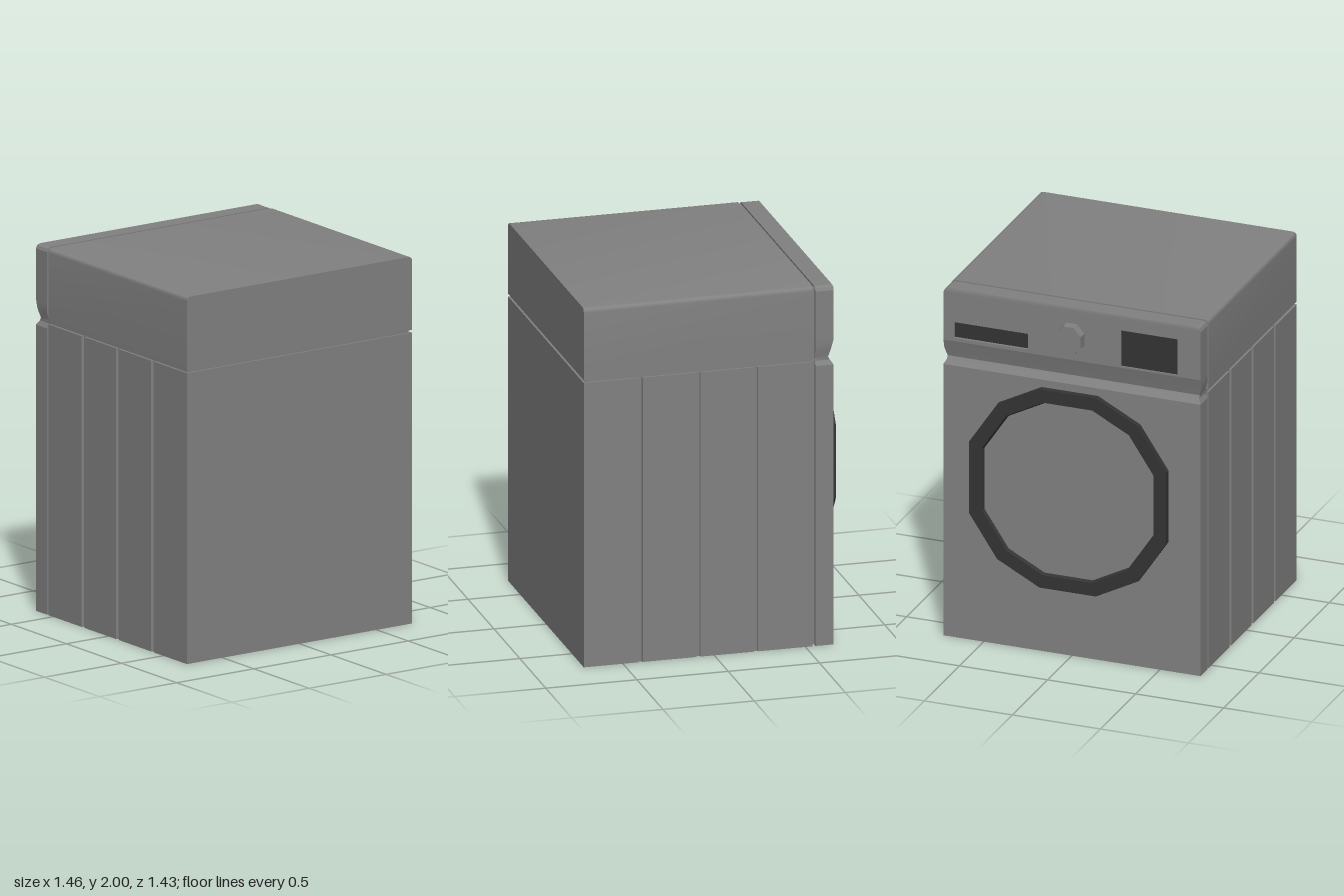
import * as THREE from 'three';
import { toCreasedNormals } from 'three/addons/utils/BufferGeometryUtils.js';

const grey = new THREE.MeshStandardMaterial({ color: 0x818181 });
const dark = new THREE.MeshStandardMaterial({ color: 0x343434 });
const W = 0.73; // half width of the cabinet

function add(parent, name, geometry, material = grey) {
  const mesh = new THREE.Mesh(geometry, material);
  mesh.name = name;
  parent.add(mesh);
  return mesh;
}

function box(x0, x1, y0, y1, z0, z1) {
  return new THREE.BoxGeometry(x1 - x0, y1 - y0, z1 - z0)
    .translate((x0 + x1) / 2, (y0 + y1) / 2, (z0 + z1) / 2);
}

// Flat faces between matching loops of points, with optional end caps
function loft(loops, capped) {
  const out = [];
  const tri = (...pts) => pts.forEach((p) => out.push(...p));
  const n = loops[0].length;
  for (let i = 0; i < loops.length - 1; i++) {
    for (let j = 0; j < n; j++) {
      const k = (j + 1) % n;
      const [a, b, c, d] = [loops[i][j], loops[i][k], loops[i + 1][k], loops[i + 1][j]];
      tri(a, b, c);
      tri(a, c, d);
    }
  }
  if (capped) {
    const first = loops[0], last = loops[loops.length - 1];
    for (let j = 1; j < n - 1; j++) {
      tri(first[0], first[j + 1], first[j]);
      tri(last[0], last[j], last[j + 1]);
    }
  }
  const g = new THREE.BufferGeometry();
  g.setAttribute('position', new THREE.Float32BufferAttribute(out, 3));
  g.computeVertexNormals();
  return g;
}

// Cabinet: floor plan with three upright grooves in each side
function cabinetGeometry() {
  const side = [[W, 0.54]];
  for (const z of [-0.228, 0.086, 0.403]) {
    side.push([W, -z + 0.012], [W - 0.012, -z + 0.009], [W - 0.012, -z - 0.009], [W, -z - 0.012]);
  }
  side.push([W, -0.715]);
  const mirrored = side.map(([x, y]) => [-x, y]).reverse();
  const shape = new THREE.Shape([...side, ...mirrored].map(([x, y]) => new THREE.Vector2(x, y)));
  return new THREE.ExtrudeGeometry(shape, { depth: 1.585, bevelEnabled: false }).rotateX(-Math.PI / 2);
}

// Upper casing with rounded top edges
function lidGeometry() {
  const r = 0.025;
  const s = new THREE.Shape();
  s.moveTo(-W, 1.6);
  s.lineTo(W, 1.6);
  s.lineTo(W, 2 - r);
  s.quadraticCurveTo(W, 2, W - r, 2);
  s.lineTo(-W + r, 2);
  s.quadraticCurveTo(-W, 2, -W, 2 - r);
  const g = new THREE.ExtrudeGeometry(s, { depth: 1.255, bevelEnabled: false, curveSegments: 4 });
  return toCreasedNormals(g.translate(0, 0, -0.54), 0.6);
}

// Working face: [height, half width, outer z], pinched below the control panel
function faceGeometry() {
  const levels = [
    [0, W, -0.655], [1.56, W, -0.655], [1.585, W - 0.014, -0.638], [1.602, W - 0.014, -0.628],
    [1.65, W, -0.64], [1.7, W, -0.654], [1.7, W, -0.63],
    [1.975, W, -0.63], [1.975, W, -0.655], [1.992, W - 0.008, -0.655], [2, W - 0.025, -0.653],
  ];
  const zb = -0.555;
  const loops = levels.map(([y, w, z]) => [[w, y, zb], [w, y, z], [-w, y, z], [-w, y, zb]]);
  return toCreasedNormals(loft(loops, true), 0.4);
}

// Windows in the control panel: x0, x1, y0, y1
const drawer = [0.25, 0.67, 1.72, 1.81];
const display = [-0.6, -0.28, 1.71, 1.915];

function panelGeometry() {
  const rect = (S, x0, x1, y0, y1) =>
    new S([[x0, y0], [x1, y0], [x1, y1], [x0, y1]].map(([x, y]) => new THREE.Vector2(x, y)));
  const shape = rect(THREE.Shape, -W, W, 1.7, 1.975);
  shape.holes.push(rect(THREE.Path, ...drawer), rect(THREE.Path, ...display));
  return new THREE.ExtrudeGeometry(shape, { depth: 0.025, bevelEnabled: false }).translate(0, 0, -0.655);
}

// Twelve-sided door outline, and a loop of it at a given scale and z
const q = [[0.16, 0.57], [0.4, 0.445], [0.56, 0.205]];
const flip = (pts, sx, sy) => pts.map(([x, y]) => [x * sx, y * sy]);
const outline = [
  ...q, ...flip(q, 1, -1).reverse(), ...flip(q, -1, -1), ...flip(q, -1, 1).reverse(),
];
const doorLoop = ([s, z]) => outline.map(([x, y]) => [x * s, 0.96 + y * s, z]);

export function createModel() {
  const group = new THREE.Group();
  group.name = 'washingMachine';

  add(group, 'cabinet', cabinetGeometry());
  add(group, 'lid', lidGeometry());
  add(group, 'seamCore', box(-0.716, 0.716, 0.008, 1.99, -0.6, 0.702));
  add(group, 'workingFace', faceGeometry());

  // Door: dark ring around a slightly sunken pane
  const door = new THREE.Group();
  door.name = 'door';
  group.add(door);
  const ringSteps = [[0.92, -0.65], [0.93, -0.66], [1, -0.682], [1, -0.715], [0.87, -0.715], [0.85, -0.69]];
  add(door, 'doorRing', loft(ringSteps.map(doorLoop), false), dark);
  add(door, 'doorPane', loft([[0.86, -0.65], [0.86, -0.697]].map(doorLoop), true));

  // Control panel with its sunken drawer and display
  const panel = new THREE.Group();
  panel.name = 'controlPanel';
  group.add(panel);
  add(panel, 'panelPlate', panelGeometry());
  add(panel, 'drawerSlot', box(...drawer, -0.64, -0.62), dark);
  add(panel, 'displayWindow', box(...display, -0.648, -0.62), dark);

  // Eight-sided dial
  const dialShape = new THREE.CylinderGeometry(0.08, 0.082, 0.06, 8)
    .rotateY(Math.PI / 8).rotateX(-Math.PI / 2).scale(0.95, 1.06, 1);
  const dial = add(panel, 'dial', toCreasedNormals(dialShape, 0.5));
  dial.position.set(0, 1.83, -0.675);

  return group;
}
